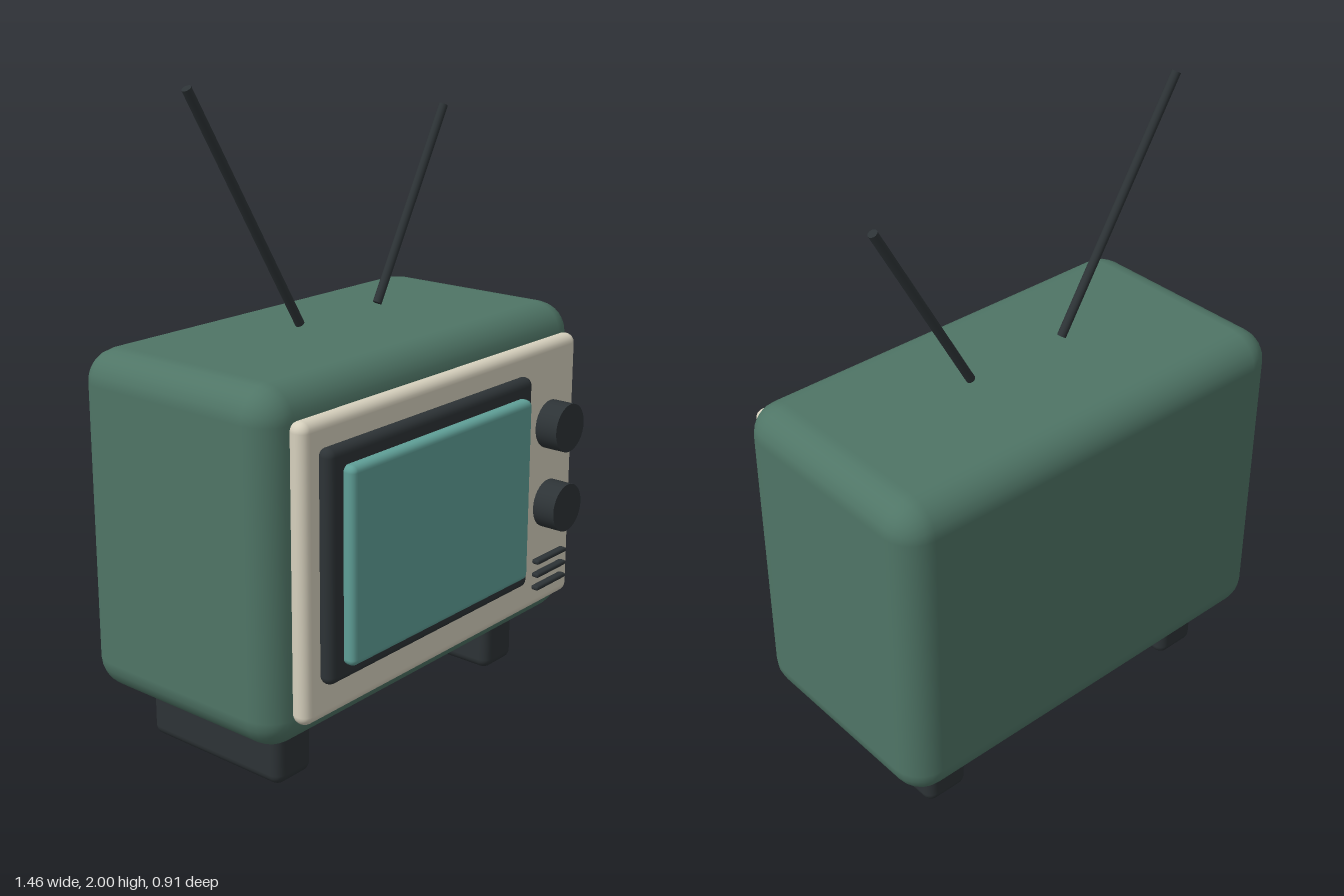
import * as THREE from 'three';
import { RoundedBoxGeometry } from 'three/addons/geometries/RoundedBoxGeometry.js';

const paint = (color) => new THREE.MeshStandardMaterial({ color });

export function createModel() {
  const group = new THREE.Group();
  const green = paint(0x4f7566), cream = paint(0xd6d0bd), dark = paint(0x2d3336), glass = paint(0x5f9f97);

  const add = (name, geometry, material) => {
    const mesh = new THREE.Mesh(geometry, material);
    mesh.name = name;
    group.add(mesh);
    return mesh;
  };

  // Rounded box given by its extents on each axis
  const block = (name, material, [x0, x1], [y0, y1], [z0, z1], radius, segments = 3) =>
    add(name, new RoundedBoxGeometry(x1 - x0, y1 - y0, z1 - z0, segments, radius), material)
      .position.set((x0 + x1) / 2, (y0 + y1) / 2, (z0 + z1) / 2);

  // Cabinet and the layered front
  block('cabinet', green, [-0.73, 0.727], [0.18, 1.24], [-0.453, 0.316], 0.1);
  block('frontPanel', cream, [-0.655, 0.65], [0.272, 1.155], [0.306, 0.37], 0.03);
  block('screenFrame', dark, [-0.6, 0.35], [0.392, 1.08], [0.363, 0.414], 0.025);
  block('screen', glass, [-0.545, 0.297], [0.443, 1.027], [0.4, 0.45], 0.02);

  // Two runner feet
  for (const [name, x] of [['rightFoot', -0.512], ['leftFoot', 0.507]])
    block(name, dark, [x - 0.077, x + 0.077], [0, 0.2], [-0.33, 0.2], 0.032);

  // Control knobs
  [0.89, 0.625].forEach((y, i) => {
    const knob = add(`knob${i + 1}`, new THREE.CylinderGeometry(0.078, 0.078, 0.077, 32), dark);
    knob.rotation.x = Math.PI / 2;
    knob.position.set(0.495, y, 0.416);
  });

  // Speaker slots
  [0.447, 0.402, 0.358].forEach((y, i) =>
    block(`speakerSlot${i + 1}`, dark, [0.414, 0.576], [y - 0.008, y + 0.008], [0.38, 0.407], 0.007, 2));

  // Aerials leaning outwards
  const aerial = (name, x0, y0, x1, y1) => {
    const foot = new THREE.Vector3(x0, y0, -0.068), tip = new THREE.Vector3(x1, y1, -0.068);
    const along = tip.clone().sub(foot);
    const rod = add(name, new THREE.CylinderGeometry(0.0145, 0.0145, along.length(), 12), dark);
    rod.position.copy(foot).add(tip).multiplyScalar(0.5);
    rod.quaternion.setFromUnitVectors(new THREE.Vector3(0, 1, 0), along.normalize());
  };
  aerial('rightAerial', -0.182, 1.27, -0.618, 1.992);
  aerial('leftAerial', 0.177, 1.27, 0.502, 1.855);

  return group;
}
